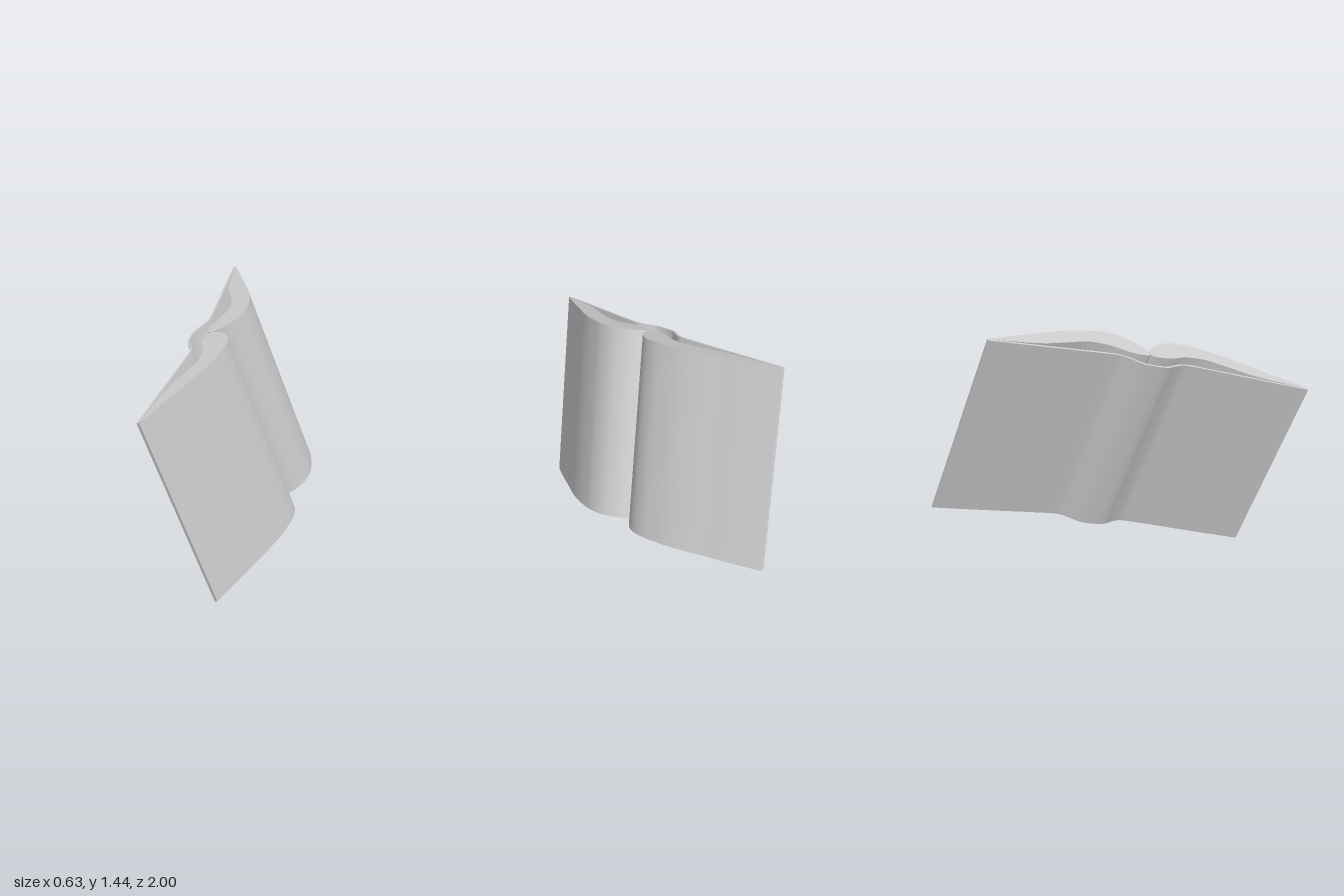
import * as THREE from 'three';
import { toCreasedNormals } from 'three/addons/utils/BufferGeometryUtils.js';

const LENGTH = 1.053; // height of the pages along the spine

const v2 = (list) => list.map(([u, n]) => new THREE.Vector2(u, n));
const smooth = (list, count) => new THREE.SplineCurve(v2(list)).getPoints(count);

// Extrudes a closed cross-section along the spine with smooth curved sides
function extrude(points, name, material) {
  const geometry = new THREE.ExtrudeGeometry(new THREE.Shape(points), {
    depth: LENGTH, bevelEnabled: false, steps: 1,
  });
  const mesh = new THREE.Mesh(toCreasedNormals(geometry, 0.6), material);
  mesh.name = name;
  return mesh;
}

export function createModel() {
  const paper = new THREE.MeshStandardMaterial({ color: 0xcccccc });
  paper.name = 'light grey';

  const book = new THREE.Group();
  book.name = 'openBook';

  // Page halves: a swelling top sheet and a hollow underside, mirrored at the gutter
  const topSheet = smooth([
    [0.912, 0.008], [0.79, 0.065], [0.63, 0.135], [0.43, 0.22], [0.28, 0.257],
    [0.2, 0.262], [0.13, 0.248], [0.065, 0.21], [0.02, 0.162], [0.001, 0.125],
  ], 44);
  const underside = smooth([
    [0.001, 0.105], [0.015, 0.093], [0.075, 0.091], [0.14, 0.105], [0.21, 0.132],
    [0.29, 0.142], [0.36, 0.134], [0.455, 0.102], [0.6, 0.052], [0.75, 0.026], [0.912, 0.006],
  ], 44);
  const half = [...topSheet, ...underside];
  for (const side of [1, -1]) {
    const points = half.map((p) => new THREE.Vector2(p.x * side, p.y));
    book.add(extrude(points, side > 0 ? 'leftPages' : 'rightPages', paper));
  }

  // Cover: one thin bent sheet with a rounded spine
  const halfCover = [
    [0.912, 0], [0.64, 0.021], [0.37, 0.044], [0.23, 0.054], [0.175, 0.052],
    [0.12, 0.03], [0.07, 0.005],
  ];
  const mirrored = halfCover.map(([u, n]) => [-u, n]).reverse();
  const middle = smooth([...halfCover, [0, -0.002], ...mirrored], 84);
  const offset = (distance) => middle.map((p, i) => {
    const a = middle[Math.max(i - 1, 0)];
    const b = middle[Math.min(i + 1, middle.length - 1)];
    const t = b.clone().sub(a).normalize();
    return new THREE.Vector2(p.x + t.y * distance, p.y - t.x * distance);
  });
  book.add(extrude([...offset(0.006), ...offset(-0.006).reverse()], 'cover', paper));

  // Tilt: x runs across the pages, y out of them, z up along the spine
  const up = new THREE.Vector3(-0.299, 0.926, 0.228).normalize();
  const out = new THREE.Vector3(0.952, 0.278, 0.12);
  const across = new THREE.Vector3().crossVectors(out, up).normalize();
  out.crossVectors(up, across);
  book.quaternion.setFromRotationMatrix(new THREE.Matrix4().makeBasis(across, out, up));
  book.position.set(0.055, 0.232, -0.1225);

  const model = new THREE.Group();
  model.add(book);
  return model;
}
